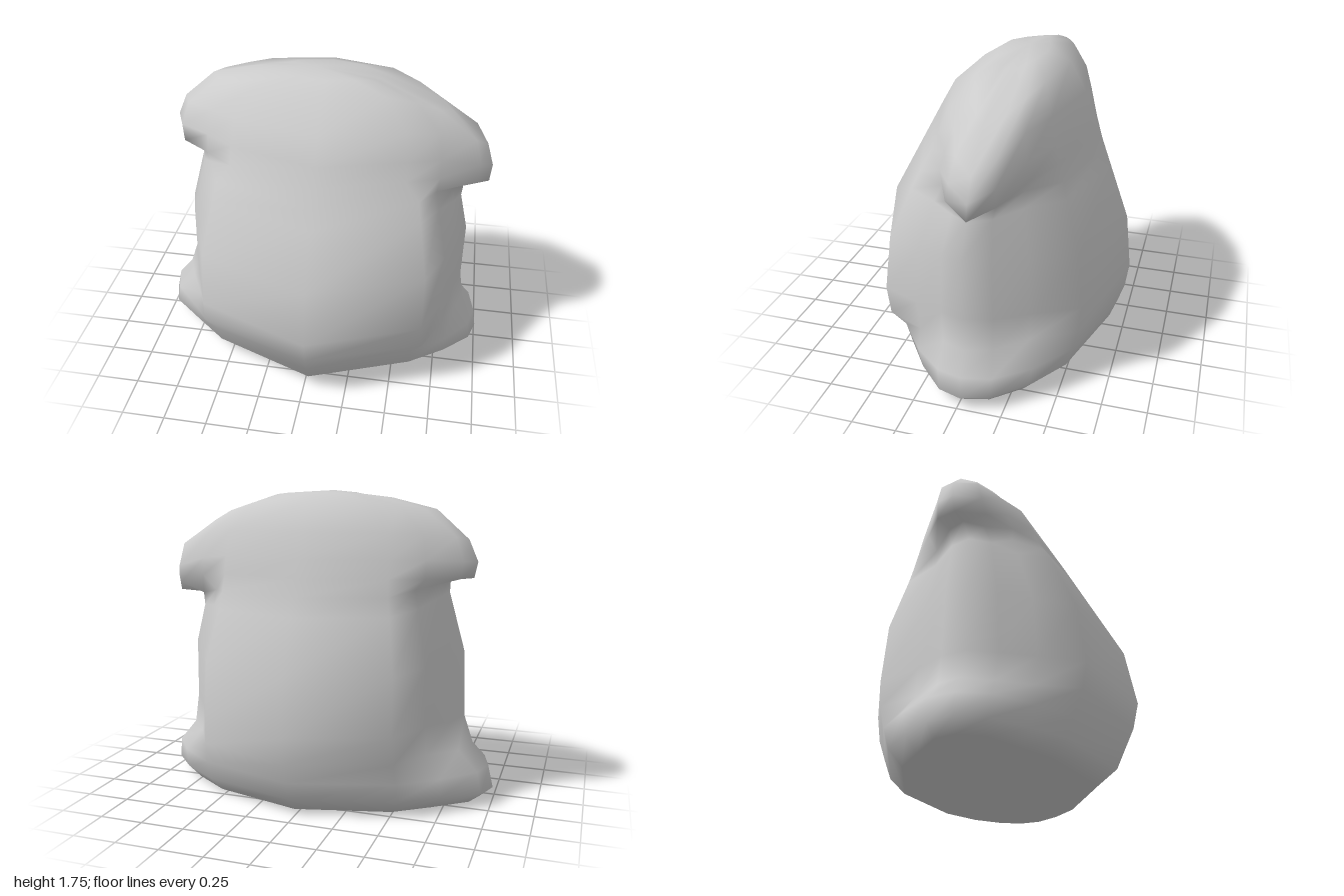
import * as THREE from 'three';

// Quarter outlines from side tip to middle: [pull towards the tip, depth, tip height weight]
const TIP = [1, 0, 1];
const LOBE = {
  front: [TIP, [0.8, 0.21, 0.85], [0, 0.45, 0.3], [-0.25, 0.67, 0.05]],
  back: [TIP, [0.8, 0.23, 0.85], [0, 0.5, 0.3], [-0.28, 0.75, 0.05]],
};
const BODY = {
  front: [TIP, [0.6, 0.18, 0.85], [0, 0.4, 0.3], [-0.13, 0.69, 0.05]],
  back: [TIP, [0.6, 0.2, 0.85], [-0.08, 0.42, 0.3], [-0.26, 0.75, 0.05]],
};
const FLAP = {
  front: [TIP, [0.75, 0.27, 0.6], [0, 0.48, 0.2], [-0.26, 0.7, 0.03]],
  back: [TIP, [0.75, 0.27, 0.6], [0, 0.5, 0.2], [-0.28, 0.74, 0.03]],
};
const CREST = {
  front: [TIP, [0.7, 0.3, 0.9], [0, 0.55, 0.45], [-0.3, 0.78, 0.1]],
  back: [TIP, [0.7, 0.3, 0.9], [0, 0.55, 0.45], [-0.3, 0.78, 0.1]],
};

// Rings from base to crest:
// [outline, middle y, -x tip, its y, +x tip, its y, front z, back z, tip z, shoulder x]
const RINGS = [
  [LOBE, 0.01, 0.93, 0.02, 0.93, 0.02, 0.52, -0.58, -0.05, 0.72],
  [LOBE, 0.10, 1.00, 0.08, 1.00, 0.08, 0.63, -0.67, -0.05, 0.78],
  [LOBE, 0.21, 0.97, 0.21, 0.98, 0.20, 0.68, -0.71, -0.05, 0.78],
  [BODY, 0.33, 0.88, 0.32, 0.90, 0.32, 0.735, -0.75, -0.04, 0.75],
  [BODY, 0.48, 0.82, 0.49, 0.87, 0.50, 0.77, -0.77, -0.03, 0.735],
  [BODY, 0.80, 0.81, 0.86, 0.87, 0.85, 0.71, -0.735, -0.03, 0.73],
  [BODY, 1.10, 0.72, 1.20, 0.82, 1.06, 0.545, -0.615, -0.05, 0.67],
  [BODY, 1.20, 0.73, 1.31, 0.83, 1.13, 0.49, -0.575, -0.08, 0.65],
  [FLAP, 1.30, 0.86, 1.29, 0.97, 1.14, 0.435, -0.545, -0.10, 0.66],
  [FLAP, 1.40, 0.88, 1.38, 0.98, 1.24, 0.38, -0.51, -0.11, 0.66],
  [FLAP, 1.54, 0.83, 1.50, 0.94, 1.37, 0.30, -0.46, -0.12, 0.64],
  [CREST, 1.70, 0.65, 1.66, 0.72, 1.57, 0.12, -0.37, -0.12, 0.50],
  [CREST, 1.745, 0.40, 1.72, 0.32, 1.72, 0.04, -0.24, -0.12, 0.24],
];
const SIDES = 16;

function ringPoint(ring, i) {
  const [outline, y, left, leftY, right, rightY, front, back, tipZ, shoulder] = ring;
  const step = i <= 8 ? i : SIDES - i; // 0 = +x tip, 8 = -x tip
  const sign = step <= 4 ? 1 : -1;
  const q = Math.min(step, 8 - step);
  const edge = i <= 8 ? front : back;
  if (q === 4) return [0.03, y, edge];
  const [pull, depth, drop] = (i <= 8 ? outline.front : outline.back)[q];
  const tipX = sign > 0 ? right : left;
  const tipY = sign > 0 ? rightY : leftY;
  const z0 = tipZ + 0.03 * sign * (1 - q / 4);
  const s = shoulder + 0.03 * sign; // the +x side is a little fuller
  const x = pull >= 0 ? s + (tipX - s) * pull : s * (1 + pull);
  return [sign * x, y + (tipY - y) * drop, z0 + (edge - z0) * depth];
}

function sackGeometry() {
  const points = [];
  const index = [];
  RINGS.forEach((ring) => {
    for (let i = 0; i < SIDES; i++) points.push(...ringPoint(ring, i));
  });
  // Middle points of the base and the crest
  const base = RINGS.length * SIDES;
  const crest = base + 1;
  points.push(0, 0.005, -0.03, -0.05, 1.757, -0.12);

  const last = (RINGS.length - 1) * SIDES;
  for (let i = 0; i < SIDES; i++) {
    const j = (i + 1) % SIDES;
    for (let r = 0; r < last; r += SIDES) {
      const a = r + i, b = r + j;
      index.push(a, a + SIDES, b, b, a + SIDES, b + SIDES);
    }
    index.push(base, i, j, crest, last + j, last + i);
  }
  const geometry = new THREE.BufferGeometry();
  geometry.setAttribute('position', new THREE.Float32BufferAttribute(points, 3));
  geometry.setIndex(index);
  geometry.computeVertexNormals();
  return geometry;
}

export function createModel() {
  const group = new THREE.Group();
  group.name = 'sack';
  // Filled cloth sack with drooping top corners and splayed bottom corners
  const sack = new THREE.Mesh(sackGeometry(), new THREE.MeshStandardMaterial({ color: 0xcccccc }));
  sack.name = 'sackBody';
  group.add(sack);
  return group;
}
